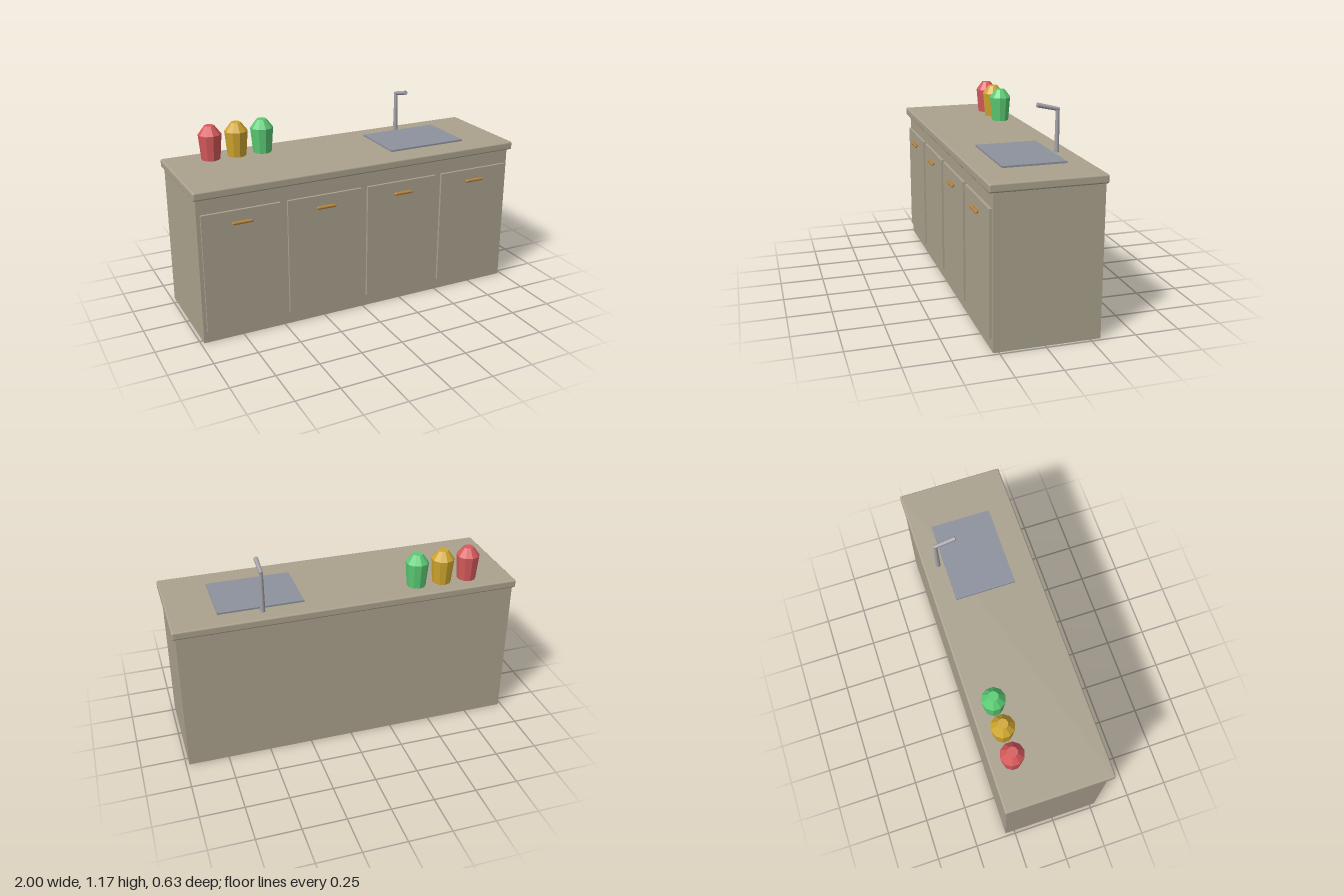
import * as THREE from 'three';
import { RoundedBoxGeometry } from 'three/addons/geometries/RoundedBoxGeometry.js';

const material = (name, color, flatShading = false) => {
  const m = new THREE.MeshStandardMaterial({ color, flatShading });
  m.name = name;
  return m;
};

export function createModel() {
  const model = new THREE.Group();
  model.name = 'kitchenCounter';

  const beige = material('beigeWood', 0xaba28e);
  const steel = material('sinkSteel', 0x8d929e);
  const metal = material('tapMetal', 0xa3a3a9);
  const brass = material('handleBrass', 0xb5833c);
  const canisterColors = [
    material('red', 0xd65a5c, true),
    material('mustard', 0xcfa62f, true),
    material('green', 0x5bcb74, true),
  ];

  const add = (name, geometry, mat, x, y, z, parent = model) => {
    const mesh = new THREE.Mesh(geometry, mat);
    mesh.name = name;
    mesh.position.set(x, y, z);
    parent.add(mesh);
    return mesh;
  };

  // Cabinet body and worktop with softened edges
  add('cabinet', new THREE.BoxGeometry(1.964, 0.846, 0.587), beige, 0, 0.423, -0.0135);
  add('worktop', new RoundedBoxGeometry(2, 0.048, 0.624, 2, 0.01), beige, 0, 0.869, -0.005);

  // Four doors, each with a rounded pull
  const doorGeometry = new THREE.BoxGeometry(0.45, 0.686, 0.017);
  const handleGeometry = new THREE.CapsuleGeometry(0.009, 0.102, 3, 10).rotateZ(Math.PI / 2);
  const postGeometry = new THREE.BoxGeometry(0.09, 0.01, 0.018);
  for (let i = 0; i < 4; i++) {
    const x = -0.737 + i * 0.4907;
    const door = new THREE.Group();
    door.name = `door${i + 1}`;
    add('doorPanel', doorGeometry, beige, x, 0.414, 0.2865, door);
    add('handle', handleGeometry, brass, x, 0.69, 0.309, door);
    add('handleMount', postGeometry, brass, x, 0.69, 0.3, door);
    model.add(door);
  }

  // Sink plate
  add('sink', new THREE.BoxGeometry(0.49, 0.012, 0.355), steel, 0.49, 0.897, -0.018);

  // Tap: tapered upright and a rising spout
  const tap = new THREE.Group();
  tap.name = 'tap';
  add('tapUpright', new THREE.CylinderGeometry(0.0105, 0.014, 0.242, 10), metal, 0.49, 1.011, -0.23, tap);
  const spout = add('tapSpout', new THREE.CylinderGeometry(0.0135, 0.0105, 0.13, 10), metal, 0.49, 1.143, -0.176, tap);
  spout.rotation.x = Math.PI / 2 - 0.23;
  add('tapElbow', new THREE.SphereGeometry(0.0105, 10, 6), metal, 0.49, 1.129, -0.231, tap);
  model.add(tap);

  // Three canisters with sloping lids
  const canisterProfile = [[0, 0.89], [0.054, 0.89], [0.067, 1.04], [0.029, 1.09], [0, 1.09]]
    .map(([r, y]) => new THREE.Vector2(r, y));
  const canisterGeometry = new THREE.LatheGeometry(canisterProfile, 10);
  canisterColors.forEach((mat, i) => {
    add(`${mat.name}Canister`, canisterGeometry, mat, -0.738 + i * 0.157, 0, -0.192);
  });

  return model;
}
